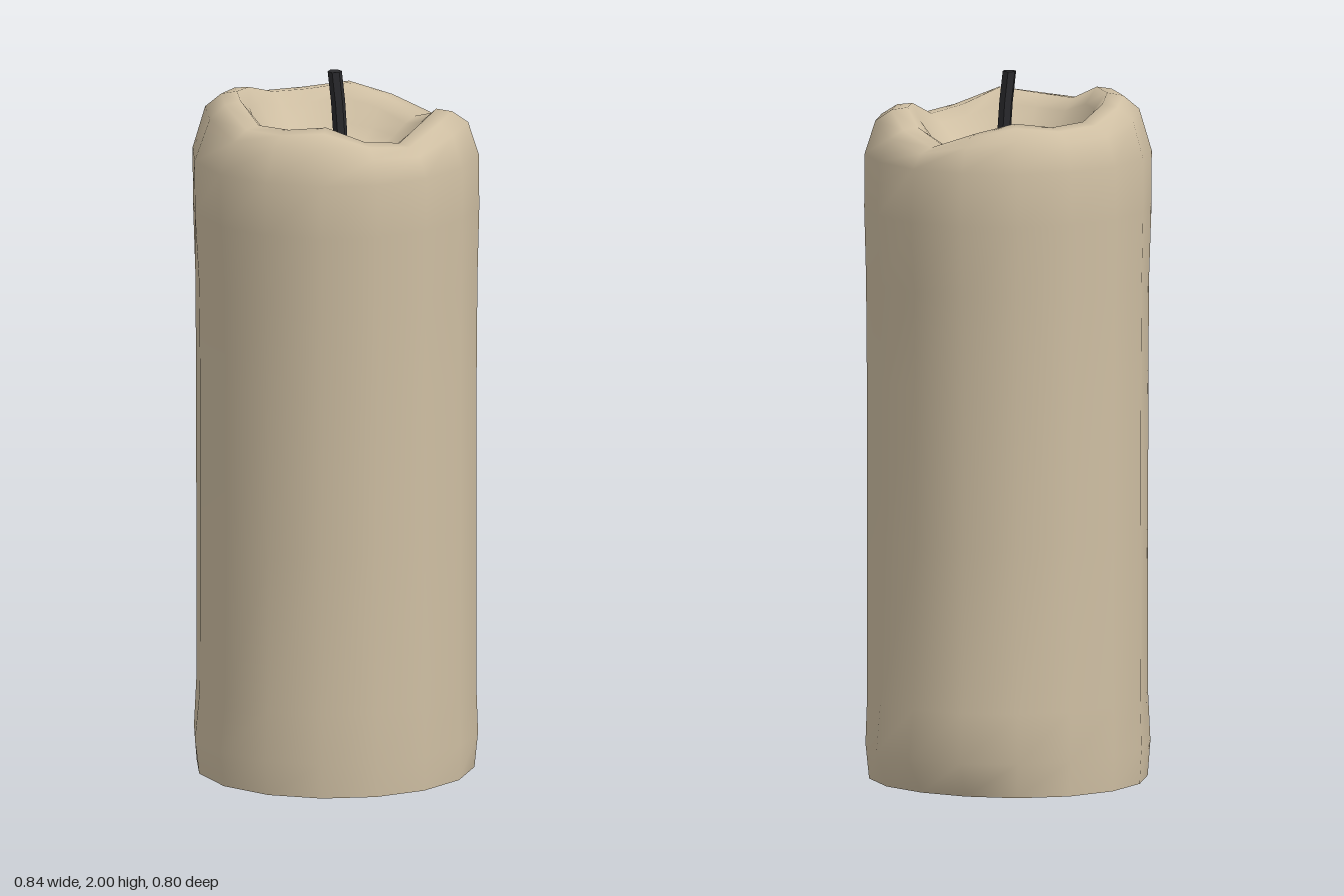
import * as THREE from 'three';

const SIDES = 16; // angle runs from +x towards +z

// Height of the melted rim at each side
const RIM = [1.825, 1.86, 1.9, 1.895, 1.85, 1.865, 1.91, 1.895,
  1.89, 1.935, 1.935, 1.92, 1.885, 1.88, 1.895, 1.865];

// Outer wall rings: height, radius, extra bulge towards -x, extra bulge towards +x
const WALL = [
  [0, 0.39, 0.015, -0.025], [0.1, 0.395, 0.025, 0.03], [0.24, 0.392, 0.01, 0.01],
  [0.7, 0.393, 0.007, 0], [1.15, 0.394, 0.006, 0], [1.42, 0.396, 0.007, 0.002],
  [1.62, 0.4, 0.018, 0.014], [1.77, 0.4, 0.02, 0.002],
];

function createWax(material) {
  const rings = WALL.map(([y, r, left, right]) => Array.from({ length: SIDES }, (_, i) => {
    const a = i * Math.PI * 2 / SIDES;
    const bump = left * Math.max(0, -Math.cos(a)) ** 4 + right * Math.max(0, Math.cos(a + 0.2)) ** 4;
    return [a, r + bump, y];
  }));
  // Rounded lip, rim and the hollow: radius, share of rim height above the given floor
  const lip = [[0.37, 1.77, 0.72], [0.325, 1.77, 0.95], [0.28, 1.77, 1], [0.245, 1.77, 0.72],
    [0.205, 1.765, 0.25], [0.165, 1.76, 0.05], [0.08, 1.75, 0]];
  for (const [r, floor, k] of lip) {
    rings.push(RIM.map((h, i) => [i * Math.PI * 2 / SIDES, r, floor + (h - floor) * k]));
  }
  const pos = rings.flat().flatMap(([a, r, y]) => [r * Math.cos(a), y, r * Math.sin(a)]);
  const index = [];
  for (let j = 0; j < rings.length - 1; j++) {
    for (let i = 0; i < SIDES; i++) {
      const n = (i + 1) % SIDES;
      const a = j * SIDES + i, b = j * SIDES + n, c = a + SIDES, d = b + SIDES;
      index.push(a, c, b, b, c, d);
    }
  }
  // Close the pool at its centre
  const centre = pos.length / 3, last = centre - SIDES;
  pos.push(0, 1.748, 0);
  for (let i = 0; i < SIDES; i++) index.push(last + i, centre, last + (i + 1) % SIDES);

  const geo = new THREE.BufferGeometry();
  geo.setAttribute('position', new THREE.Float32BufferAttribute(pos, 3));
  geo.setIndex(index);
  geo.computeVertexNormals();
  const body = new THREE.Mesh(geo, material);
  body.name = 'waxBody';

  // Flat underside with its own sharp edge
  const outline = rings[0].map(([a, r]) => new THREE.Vector2(r * Math.cos(a), r * Math.sin(a)));
  const base = new THREE.Mesh(new THREE.ShapeGeometry(new THREE.Shape(outline)), material);
  base.rotation.x = Math.PI / 2;
  base.name = 'waxBase';
  return [body, base];
}

function createWick(material) {
  // Hexagonal stick, bent slightly as it rises
  const geo = new THREE.CylinderGeometry(0.02, 0.02, 0.26, 6, 3);
  const p = geo.attributes.position;
  for (let i = 0; i < p.count; i++) {
    const t = p.getY(i) / 0.26 + 0.5;
    const lean = 0.012 * (1 - t * t);
    p.setX(i, p.getX(i) + lean - 0.003);
    p.setZ(i, p.getZ(i) + lean - 0.005);
  }
  geo.computeVertexNormals();
  const wick = new THREE.Mesh(geo, material);
  wick.position.y = 1.87;
  wick.name = 'wick';
  return wick;
}

export function createModel() {
  const wax = new THREE.MeshStandardMaterial({ color: 0xcfbfa3 });
  wax.name = 'wax';
  const charred = new THREE.MeshStandardMaterial({ color: 0x2a2a2d, flatShading: true });
  charred.name = 'charred wick';

  const group = new THREE.Group();
  group.name = 'candle';
  group.add(...createWax(wax), createWick(charred));
  return group;
}
